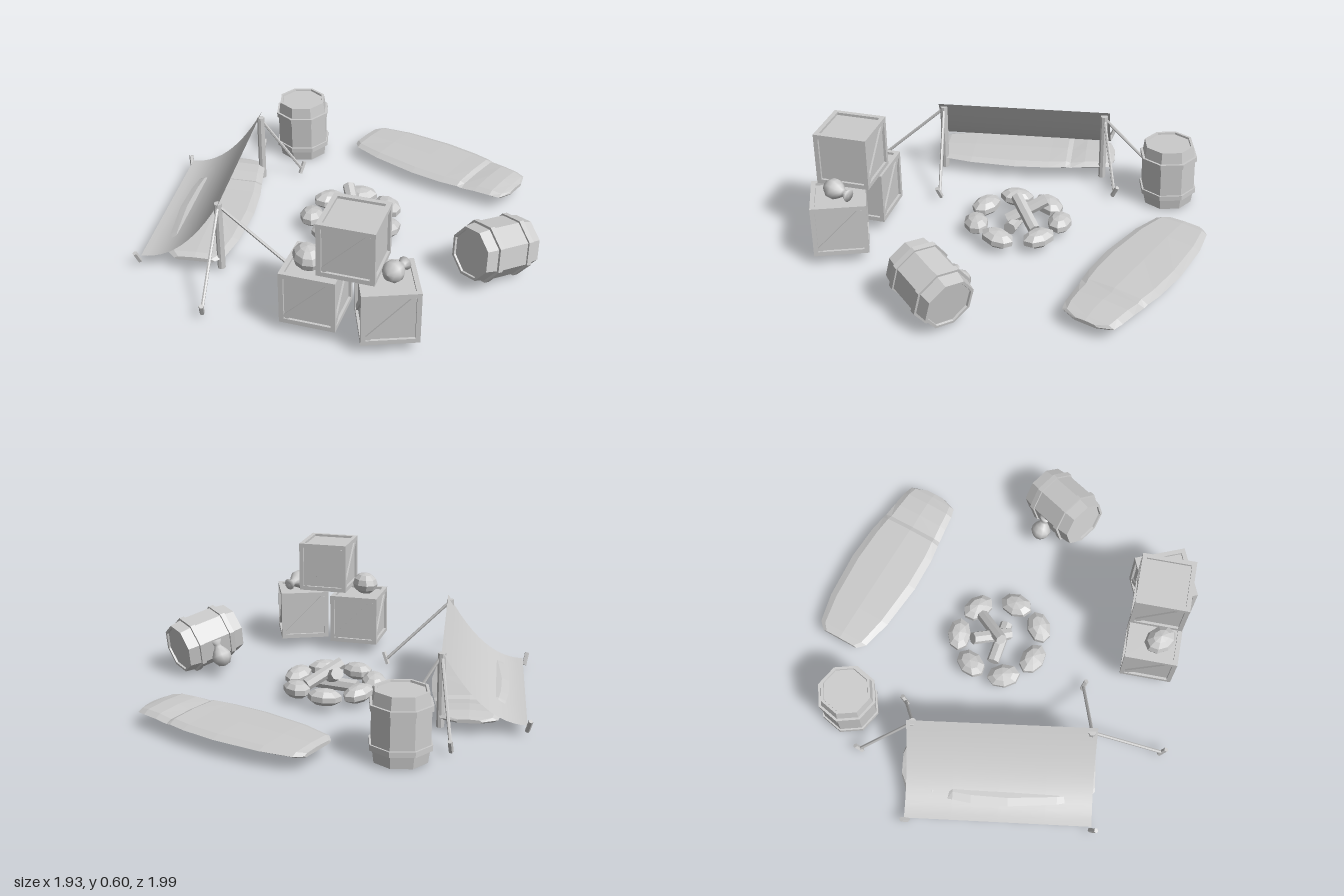
import * as THREE from 'three';

const flat = new THREE.MeshStandardMaterial({ color: 0xcccccc, flatShading: true, side: THREE.DoubleSide });
const smooth = new THREE.MeshStandardMaterial({ color: 0xcccccc, side: THREE.DoubleSide });
const V = (x, y, z) => new THREE.Vector3(x, y, z);
const UP = V(0, 1, 0);

function add(parent, name, geometry, material = flat) {
  const mesh = new THREE.Mesh(geometry, material);
  mesh.name = name;
  parent.add(mesh);
  return mesh;
}

// Round bar between two points
function rod(parent, name, a, b, radius, sides = 6) {
  const dir = b.clone().sub(a);
  const mesh = add(parent, name, new THREE.CylinderGeometry(radius, radius, dir.length(), sides));
  mesh.position.copy(a).lerp(b, 0.5);
  mesh.quaternion.setFromUnitVectors(UP, dir.normalize());
  return mesh;
}

const lathe = (pts, sides) => new THREE.LatheGeometry(pts.map(([r, y]) => new THREE.Vector2(r, y)), sides);

// Eight-sided barrel with two hoops and recessed lids
function barrel() {
  const g = new THREE.Group();
  g.name = 'barrel';
  add(g, 'staves', lathe([[0, -0.152], [0.112, -0.152], [0.114, -0.162], [0.127, -0.162], [0.139, -0.08],
    [0.139, 0.08], [0.127, 0.162], [0.114, 0.162], [0.112, 0.152], [0, 0.152]], 8));
  for (const s of [-1, 1]) {
    const hoop = add(g, 'hoop', lathe([[0.132, -0.013], [0.148, -0.013], [0.148, 0.013], [0.132, 0.013]], 8));
    hoop.position.y = s * 0.09;
  }
  return g;
}

// Framed crate with diagonal braces on the chosen sides
function crate(braced) {
  const g = new THREE.Group(), S = 0.26, T = 0.022, e = (S - T) / 2;
  g.name = 'crate';
  add(g, 'panels', new THREE.BoxGeometry(S - 0.025, S - 0.025, S - 0.025));
  for (const a of [-e, e]) for (const b of [-e, e]) {
    add(g, 'frameX', new THREE.BoxGeometry(S, T, T)).position.set(0, a, b);
    add(g, 'frameY', new THREE.BoxGeometry(T, S, T)).position.set(a, 0, b);
    add(g, 'frameZ', new THREE.BoxGeometry(T, T, S)).position.set(a, b, 0);
  }
  for (const side of braced) {
    const pivot = new THREE.Group();
    pivot.rotation.y = side * Math.PI / 2;
    const brace = add(pivot, 'brace', new THREE.BoxGeometry(0.295, 0.026, 0.01));
    brace.position.z = S / 2 - 0.009;
    brace.rotation.z = Math.PI / 4;
    g.add(pivot);
  }
  return g;
}

// Padded bed lofted along z, with the pillow at the +z end
function bedroll() {
  const g = new THREE.Group();
  g.name = 'bedroll';
  // z, half width, top height at the middle
  const stations = [[-0.475, 0.1, 0.02], [-0.44, 0.137, 0.028], [-0.29, 0.172, 0.033], [-0.05, 0.192, 0.035],
    [0.13, 0.184, 0.036], [0.22, 0.17, 0.038], [0.245, 0.166, 0.026], [0.32, 0.156, 0.036],
    [0.4, 0.146, 0.036], [0.45, 0.132, 0.025], [0.475, 0.06, 0.018]];
  const pos = [], idx = [], n = 7;
  for (const [z, w, h] of stations) {
    const ring = [[-0.85, 0], [0.85, 0], [1, 0.4], [0.8, 0.85], [0, 1], [-0.8, 0.85], [-1, 0.4]];
    for (const [x, y] of ring) pos.push(x * w, y * h, z);
  }
  const last = (stations.length - 1) * n;
  for (let i = 0; i < last; i += n) for (let j = 0; j < n; j++) {
    const k = (j + 1) % n;
    idx.push(i + j, i + k, i + n + j, i + k, i + n + k, i + n + j);
  }
  for (let j = 1; j < n - 1; j++) idx.push(0, j + 1, j, last, last + j, last + j + 1);
  const geo = new THREE.BufferGeometry();
  geo.setAttribute('position', new THREE.Float32BufferAttribute(pos, 3));
  geo.setIndex(idx);
  geo.computeVertexNormals();
  add(g, 'mattress', geo);
  return g;
}

// Pouch with a round belly and flared neck
function pouch() {
  const g = new THREE.Group();
  g.name = 'pouch';
  add(g, 'pouchBody', lathe([[0, -0.05], [0.03, -0.042], [0.049, -0.015], [0.05, 0.01], [0.036, 0.035],
    [0.02, 0.055], [0.018, 0.066], [0.032, 0.09], [0, 0.086]], 10), smooth);
  return g;
}

// Lean-to with sagging canopy, posts, guy ropes and pegs
function shelter() {
  const g = new THREE.Group();
  g.name = 'shelter';
  const frontA = V(-0.65, 0.4, -0.15), frontB = V(0.115, 0.4, -0.635);
  const backA = V(-0.865, 0.06, -0.49), backB = V(-0.09, 0.06, -0.975);
  const geo = new THREE.PlaneGeometry(1, 1, 4, 12), p = geo.attributes.position;
  for (let i = 0; i < p.count; i++) {
    const u = p.getX(i) + 0.5, t = p.getY(i) + 0.5;
    const q = frontA.clone().lerp(frontB, u).lerp(backA.clone().lerp(backB, u), t);
    p.setXYZ(i, q.x, 0.06 + 0.34 * Math.pow(1 - t, 2.1), q.z);
  }
  geo.computeVertexNormals();
  add(g, 'canopy', geo, smooth);

  const middle = V(-0.37, 0, -0.56);
  const peg = (x, y, z) => {
    const out = V(x, 0, z).sub(middle).normalize();
    rod(g, 'peg', V(x, y - 0.025, z).addScaledVector(out, -0.01), V(x, y + 0.035, z).addScaledVector(out, 0.02), 0.012, 5);
  };
  const corners = [
    { post: V(-0.635, 0.38, -0.175), ends: [[-0.945, 0.045, 0.025], [-0.435, 0.045, 0.09]] },
    { post: V(0.09, 0.38, -0.62), ends: [[0.26, 0.045, -0.49], [0.3, 0.045, -0.82]] },
  ];
  for (const { post, ends } of corners) {
    rod(g, 'post', V(post.x, 0.02, post.z), post, 0.019, 8);
    for (const end of ends) {
      rod(g, 'guyRope', post.clone().setY(0.37), V(...end), 0.008);
      peg(...end);
    }
  }
  peg(-0.875, 0.05, -0.5);
  peg(-0.1, 0.05, -0.975);
  return g;
}

// Ring of stones around a few logs
function campfire() {
  const g = new THREE.Group();
  g.name = 'campfire';
  const stones = [[0.1, -0.145], [0.24, -0.05], [0.245, 0.125], [0.09, 0.25], [-0.075, 0.215], [-0.145, 0.055], [-0.075, -0.105]];
  stones.forEach(([x, z], i) => {
    const stone = add(g, 'stone', new THREE.SphereGeometry(1, 8, 5));
    stone.scale.set(0.088, 0.042, 0.062);
    stone.position.set(x, 0.07, z);
    stone.rotation.set(0.1 * Math.sin(i * 2), Math.atan2(x - 0.055, z - 0.055), 0.12 * Math.cos(i * 3));
  });
  rod(g, 'log', V(0.015, 0.06, -0.07), V(0.075, 0.06, 0.14), 0.033, 7);
  rod(g, 'log', V(0.15, 0.165, -0.055), V(0.03, 0.075, 0.1), 0.032, 7);
  rod(g, 'log', V(0.025, 0.17, 0.02), V(0.2, 0.085, 0.1), 0.031, 7);
  return g;
}

export function createModel() {
  const model = new THREE.Group();
  model.name = 'campsite';
  const place = (part, x, y, z, turn = 0) => {
    part.position.set(x, y, z);
    part.rotation.y = turn;
    model.add(part);
    return part;
  };
  model.add(shelter(), campfire());

  // Beds
  place(bedroll(), 0.77, 0.068, 0.05, 0.09);
  place(bedroll(), -0.33, 0.068, -0.51, 2.134);

  // Barrels: one standing, one tipped over
  place(barrel(), 0.465, 0.172, -0.67, 0.3).rotation.z = 0.03;
  place(barrel(), 0.185, 0.17, 0.825).quaternion.setFromUnitVectors(UP, V(0.955, -0.17, 0.24).normalize());

  // Crate stack
  place(crate([0, 1, 2, 3]), -0.49, 0.19, 0.725, 0.81);
  place(crate([0, 1, 2, 3]), -0.615, 0.19, 0.42, 0.42);
  place(crate([1, 2, 3]), -0.54, 0.475, 0.575, 0.42);

  // Pouches and sack
  place(pouch(), -0.485, 0.36, 0.75).quaternion.setFromUnitVectors(UP, V(1, -0.1, -0.1).normalize());
  place(pouch(), 0.22, 0.11, 0.665).quaternion.setFromUnitVectors(UP, V(0, 0.88, 0.47).normalize());
  const sack = add(model, 'sack', new THREE.SphereGeometry(1, 9, 6));
  sack.scale.set(0.065, 0.058, 0.083);
  sack.position.set(-0.65, 0.362, 0.405);
  sack.rotation.y = -0.4;
  return model;
}
